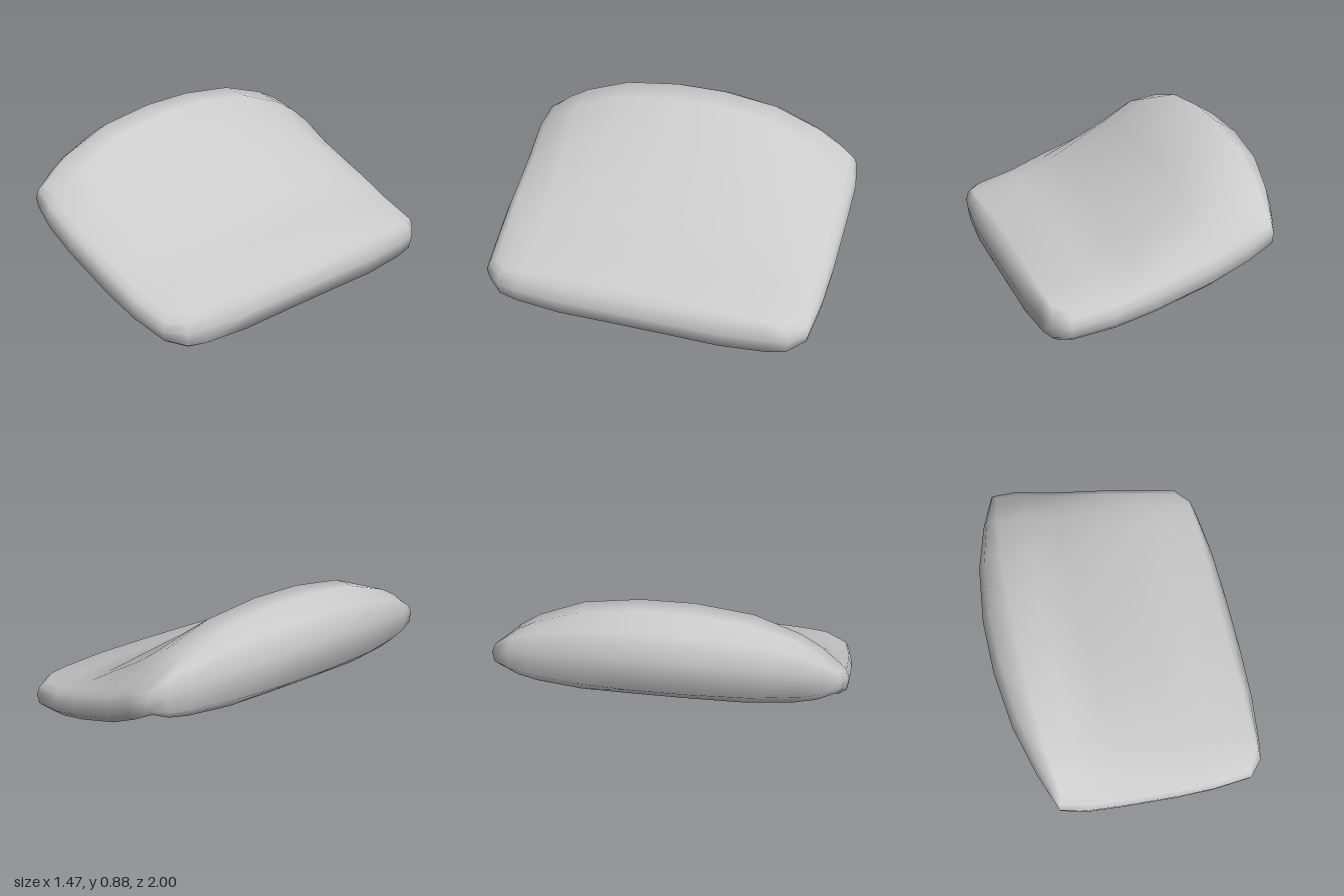
import * as THREE from 'three';
import { mergeVertices } from 'three/addons/utils/BufferGeometryUtils.js';

// Piecewise-linear curve through [t, value] points, clamped at both ends
const curve = (pts) => (t) => {
  if (t <= pts[0][0]) return pts[0][1];
  for (let i = 1; i < pts.length; i++) {
    const [a, p] = pts[i - 1], [b, q] = pts[i];
    if (t <= b) return p + ((q - p) * (t - a)) / (b - a);
  }
  return pts[pts.length - 1][1];
};

// Plan outline: both ends against |v|, half width against x
const highEnd = curve([[0.16, -0.74], [0.5, -0.7], [0.78, -0.625], [0.9, -0.58], [1, -0.54]]);
const lowEnd = curve([[0.16, 0.73], [0.5, 0.722], [0.78, 0.695], [0.9, 0.675], [1, 0.59]]);
const halfWidth = curve([[-0.54, 0.975], [-0.47, 1], [0.15, 0.99], [0.4, 0.975], [0.59, 0.95]]);

// Heights: ridge line, shoulder line, crown between them, and the lower rim
const ridge = curve([[-0.57, 0.885], [-0.41, 0.88], [-0.19, 0.72], [0.16, 0.45], [0.65, 0.29]]);
const shoulder = curve([[-0.57, 0.6], [-0.45, 0.61], [-0.15, 0.46], [0.1, 0.385], [0.3, 0.3], [0.6, 0.23]]);
const crown = curve([[0.15, 0], [0.48, 0.15], [0.74, 0.48], [0.85, 0.72], [0.94, 1]]);
const rim = curve([[-0.55, 0.48], [-0.48, 0.43], [-0.16, 0.28], [0.2, 0.165], [0.42, 0.11], [0.57, 0.09]]);
const lipRise = curve([[0.55, 0], [0.78, 0.2], [0.9, 0.5], [1, 1]]);

// Rolled edge, from shoulder to rim: insets of high end, low end and sides, then descent
const RINGS = [
  [0.17, 0.08, 0.06, 0],
  [0.05, 0.035, 0.02, 0.15],
  [0, 0, 0, 0.42],
  [0.02, 0.03, 0.01, 0.8],
  [0.17, 0.19, 0.05, 1],
];

function point(u, v, ring) {
  const at = ([high, low, side]) => {
    const taper = 1 - 0.87 * v * v;
    const x0 = highEnd(Math.abs(v)) + high * taper;
    const x1 = lowEnd(Math.abs(v)) - low * taper;
    const x = x0 + ((x1 - x0) * (u + 1)) / 2;
    return [x, v * (halfWidth(x) - side)];
  };
  const [tx, tz] = at(RINGS[0]);
  const top = ridge(tx) + (shoulder(tx) - ridge(tx)) * crown(Math.abs(tz));
  const [bx] = at(RINGS[RINGS.length - 1]);
  const bottom = rim(bx) - (1 - lipRise(Math.abs(v))) * (u < 0 ? 0.1 : 0.085);
  const [x, z] = at(RINGS[ring]);
  return [x, top + (bottom - top) * RINGS[ring][3], z];
}

function shellGeometry() {
  const us = [-1, -0.74, -0.38, 0.2, 0.59, 1];
  const vs = [-1, -0.9, -0.78, -0.5, -0.16, 0.16, 0.5, 0.78, 0.9, 1];
  const positions = [];
  const quad = (a, b, c, d) => positions.push(...a, ...b, ...c, ...c, ...b, ...d);

  // Crowned top
  for (let i = 0; i < us.length - 1; i++) {
    for (let j = 0; j < vs.length - 1; j++) {
      quad(point(us[i], vs[j], 0), point(us[i], vs[j + 1], 0),
        point(us[i + 1], vs[j], 0), point(us[i + 1], vs[j + 1], 0));
    }
  }

  // Edge rolled down and under, all the way round
  const border = [
    ...us.slice(0, -1).map((u) => [u, 1]),
    ...vs.slice(1).reverse().map((v) => [1, v]),
    ...us.slice(1).reverse().map((u) => [u, -1]),
    ...vs.slice(0, -1).map((v) => [-1, v]),
  ];
  border.forEach((p, n) => {
    const q = border[(n + 1) % border.length];
    for (let k = 0; k < RINGS.length - 1; k++) {
      quad(point(...p, k), point(...p, k + 1), point(...q, k), point(...q, k + 1));
    }
  });

  const soup = new THREE.BufferGeometry();
  soup.setAttribute('position', new THREE.Float32BufferAttribute(positions, 3));
  const geometry = mergeVertices(soup, 1e-4);
  geometry.computeVertexNormals();
  return geometry;
}

export function createModel() {
  const group = new THREE.Group();
  group.name = 'curvedShell';
  const shell = new THREE.Mesh(
    shellGeometry(),
    new THREE.MeshStandardMaterial({ color: 0xcccccc, side: THREE.DoubleSide }),
  );
  shell.name = 'shell';
  group.add(shell);
  return group;
}
